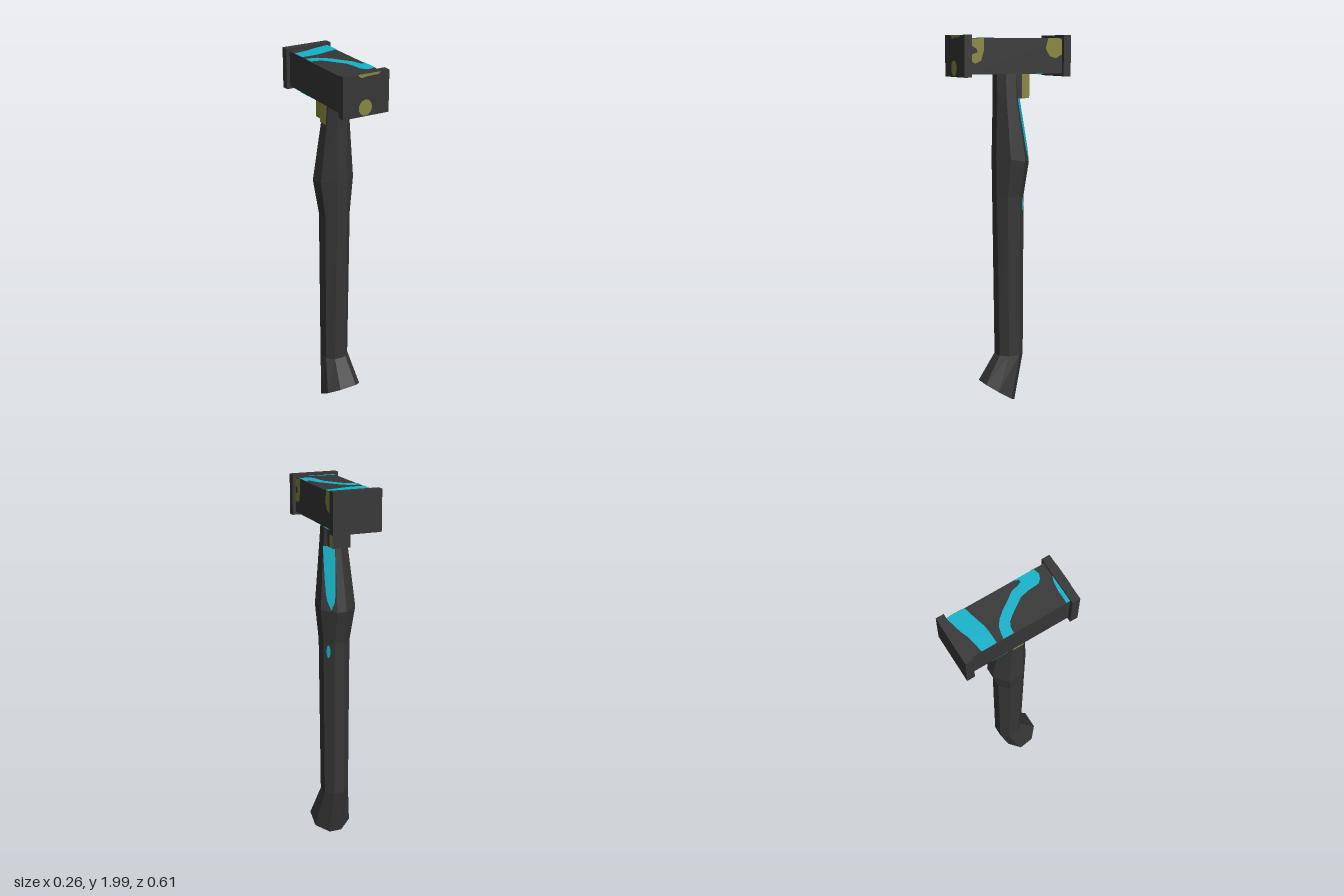
import * as THREE from 'three';

const mat = (name, color, side = THREE.FrontSide) => {
  const m = new THREE.MeshStandardMaterial({ color, side });
  m.name = name;
  return m;
};

export function createModel() {
  const group = new THREE.Group();
  const dark = mat('charcoal', 0x363636);
  const cyan = mat('cyan', 0x10b4cc, THREE.DoubleSide);
  const olive = mat('olive', 0x87873f, THREE.DoubleSide);

  const add = (name, geo, material) => {
    const mesh = new THREE.Mesh(geo, material);
    mesh.name = name;
    group.add(mesh);
    return mesh;
  };
  // Box given by its minimum and maximum corners
  const box = (name, a, b, material) => {
    const mesh = add(name, new THREE.BoxGeometry(b[0] - a[0], b[1] - a[1], b[2] - a[2]), material);
    mesh.position.set((a[0] + b[0]) / 2, (a[1] + b[1]) / 2, (a[2] + b[2]) / 2);
  };
  // Flat painted patch: a 2D outline placed in space by a mapping
  const paint = (name, material, outline, place) => {
    const geo = new THREE.ShapeGeometry(new THREE.Shape(outline.map(p => new THREE.Vector2(...p))));
    const pos = geo.attributes.position;
    for (let i = 0; i < pos.count; i++) pos.setXYZ(i, ...place(pos.getX(i), pos.getY(i)));
    geo.computeVertexNormals();
    add(name, geo, material);
  };

  // Hammer head with an end plate at each face
  box('head', [-0.112, 1.8, -0.265], [0.112, 1.985, 0.263], dark);
  box('frontPlate', [-0.131, 1.785, 0.262], [0.131, 2, 0.304], dark);
  box('backPlate', [-0.131, 1.785, -0.306], [0.131, 2, -0.264], dark);

  // Stripes on the top of the head
  const onTop = (x, z) => [x, 1.988, z];
  paint('topStripeBack', cyan, [[-0.112, -0.21], [-0.025, -0.225], [0.02, -0.242], [0.112, -0.264],
    [0.112, -0.167], [0.05, -0.152], [-0.01, -0.135], [-0.05, -0.131], [-0.112, -0.13]], onTop);
  paint('topStripeCurve', cyan, [[-0.112, -0.095], [-0.08, -0.09], [-0.05, -0.082], [-0.02, -0.06],
    [0.01, -0.025], [0.04, 0.02], [0.07, 0.06], [0.08, 0.1], [0.087, 0.118], [0.1, 0.12], [0.112, 0.09],
    [0.112, 0.205], [0.08, 0.215], [0.055, 0.205], [0.037, 0.185], [0.033, 0.13], [0.022, 0.08],
    [0, 0.05], [-0.03, 0.005], [-0.055, -0.025], [-0.08, -0.037], [-0.112, -0.04]], onTop);
  paint('topStripeFront', cyan, [[-0.112, 0.242], [-0.04, 0.243], [0.01, 0.25], [0.04, 0.262],
    [-0.112, 0.262]], onTop);
  // Stripe under the head
  paint('undersideStripe', cyan, [[0.112, -0.24], [0.06, -0.21], [0, -0.175], [-0.06, -0.16], [-0.112, -0.155],
    [-0.112, -0.065], [-0.06, -0.065], [0, -0.08], [0.05, -0.09], [0.112, -0.13]], (x, z) => [x, 1.797, z]);

  // Blotches on the left side of the head
  const onSide = (z, y) => [0.115, y, z];
  paint('sideBlotchFront', olive, [[0.262, 1.98], [0.19, 1.985], [0.19, 1.92], [0.205, 1.87], [0.24, 1.855],
    [0.262, 1.87], [0.262, 1.9], [0.225, 1.912], [0.23, 1.93], [0.262, 1.95]], onSide);
  paint('sideBlotchBack', olive, [[-0.18, 1.985], [-0.165, 1.93], [-0.19, 1.89], [-0.225, 1.88],
    [-0.262, 1.9], [-0.262, 1.975], [-0.24, 1.985]], onSide);

  // Marks on the striking face
  const onFace = (x, y) => [x, y, 0.306];
  const spot = [];
  for (let i = 0; i < 16; i++) {
    const a = i * Math.PI / 8;
    spot.push([-0.005 + 0.038 * Math.cos(a), 1.83 + 0.041 * Math.sin(a)]);
  }
  paint('faceSpot', olive, spot, onFace);
  paint('faceTopMark', olive, [[-0.05, 2], [0.08, 2], [0.07, 1.988], [0, 1.986], [-0.03, 1.981]], onFace);

  // Handle: eight-sided cross-sections from the foot up
  const sections = [
    { yf: 0.12, yb: 0.008, hx: 0.104, zf: 0.155, zb: -0.022, fw: 0.05, bw: 0.035 },
    { yf: 0.27, yb: 0.27, hx: 0.07, zf: 0.066, zb: -0.076, fw: 0.034, bw: 0.03 },
    { yf: 1.15, yb: 1.15, hx: 0.075, zf: 0.08, zb: -0.08, fw: 0.03, bw: 0.028 },
    { yf: 1.36, yb: 1.33, hx: 0.098, zf: 0.083, zb: -0.112, fw: 0.03, bw: 0.026 },
    { yf: 1.67, yb: 1.67, hx: 0.068, zf: 0.076, zb: -0.055, fw: 0.03, bw: 0.015 },
    { yf: 1.81, yb: 1.81, hx: 0.058, zf: 0.076, zb: -0.055, fw: 0.028, bw: 0.015 },
  ];
  const rings = sections.map(({ yf, yb, hx, zf, zb, fw, bw }) => {
    const mid = (zf + zb) / 2, s = 0.22 * (zf - zb);
    const half = [[fw, zf], [hx, mid + s], [hx, mid - s], [bw, zb]];
    const loop = [...half, ...half.map(([x, z]) => [-x, z]).reverse()];
    return loop.map(([x, z]) => new THREE.Vector3(x, yb + (yf - yb) * (z - zb) / (zf - zb), z));
  });
  const index = [];
  for (let i = 0; i < rings.length - 1; i++) {
    for (let j = 0; j < 8; j++) {
      const a = i * 8 + j, b = i * 8 + (j + 1) % 8;
      index.push(a, b, b + 8, a, b + 8, a + 8);
    }
  }
  for (let j = 1; j < 7; j++) index.push(0, j + 1, j);
  let handle = new THREE.BufferGeometry().setFromPoints(rings.flat());
  handle.setIndex(index);
  handle = handle.toNonIndexed();
  handle.computeVertexNormals();
  add('handle', handle, dark);

  // Paint on one handle facet, between v0 and v1 up it, edges given as functions of height
  const facetPaint = (name, material, i, j, v0, v1, left, right) => {
    const [A, B, C, D] = [rings[i][j], rings[i][j + 1], rings[i + 1][j + 1], rings[i + 1][j]];
    const normal = C.clone().sub(A).cross(D.clone().sub(B)).normalize();
    const geo = new THREE.PlaneGeometry(1, 1, 4, 8);
    const pos = geo.attributes.position;
    for (let k = 0; k < pos.count; k++) {
      const t = pos.getY(k) + 0.5, v = v0 + (v1 - v0) * t;
      const u = THREE.MathUtils.lerp(left(t), right(t), pos.getX(k) + 0.5);
      const p = A.clone().lerp(B, u).lerp(D.clone().lerp(C, u), v).addScaledVector(normal, 0.006);
      pos.setXYZ(k, p.x, p.y, p.z);
    }
    geo.computeVertexNormals();
    add(name, geo, material);
  };
  const round = t => Math.sqrt(Math.min(1, t * 5));
  facetPaint('handleStripe', cyan, 3, 2, 0.02, 1,
    t => 0.65 - round(t) * (0.25 + 0.4 * t), t => 0.65 + round(t) * (0.25 + 0.1 * t));
  const bulge = t => 0.17 * Math.sqrt(Math.max(0, 1 - (2 * t - 1) ** 2));
  facetPaint('handleDot', cyan, 1, 2, 0.905, 0.99, t => 0.48 - bulge(t), t => 0.48 + bulge(t));
  for (const j of [4, 5]) facetPaint('neckPaint', olive, 4, j, 0, 1, () => 0, () => 1);

  // Stepped lug behind the neck, with painted sides
  box('lugRoot', [-0.049, 1.67, -0.06], [0.049, 1.805, -0.01], [dark, olive, dark, dark, dark, dark]);
  box('lug', [-0.049, 1.67, -0.102], [0.049, 1.805, -0.06], [olive, olive, dark, dark, dark, dark]);

  return group;
}
